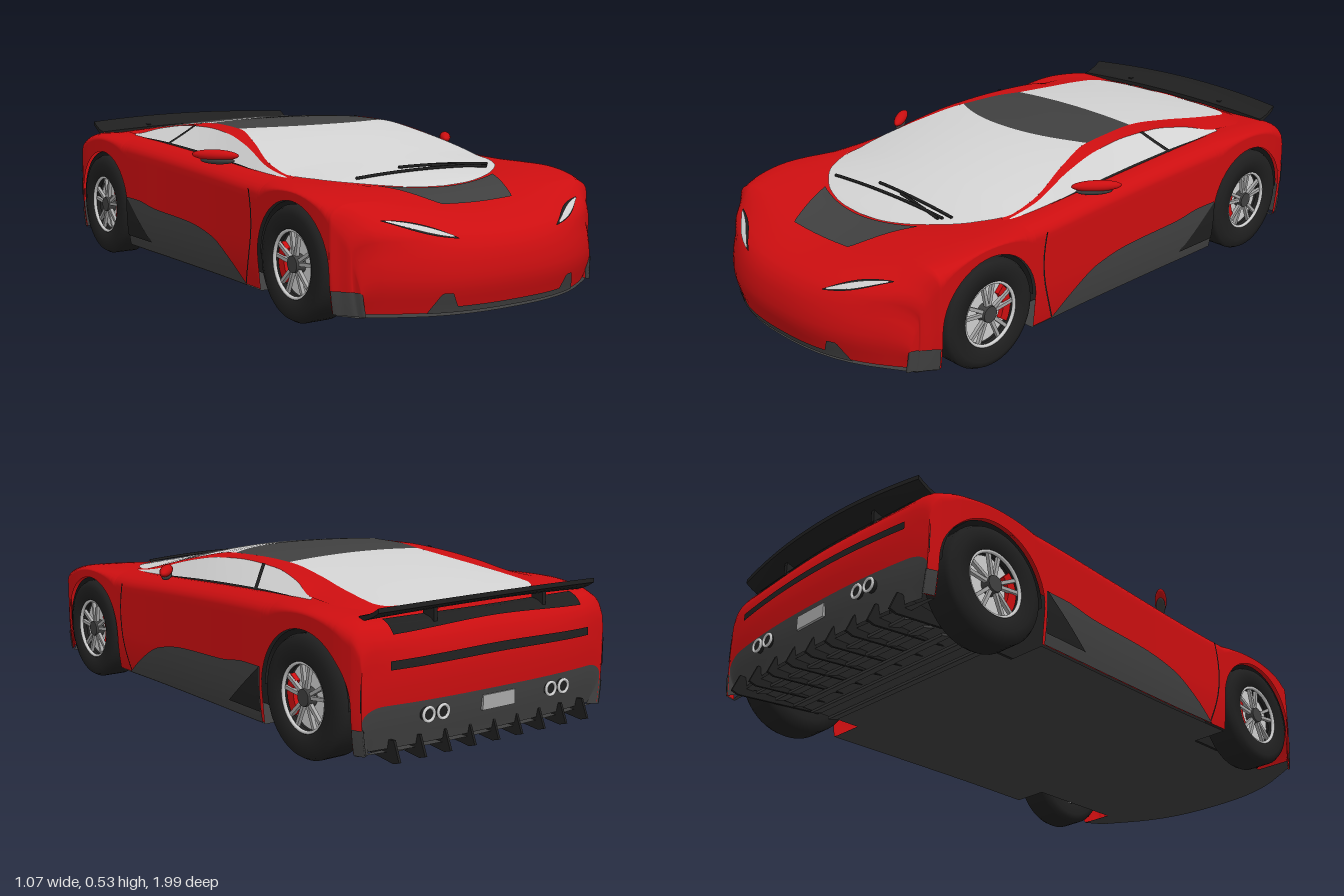
import * as THREE from 'three';

const mat = (name, color) => Object.assign(new THREE.MeshStandardMaterial({ color, side: THREE.DoubleSide }), { name });
const span = (a, b, n) => Array.from({ length: n + 1 }, (_, i) => a + (b - a) * i / n);
const clamp = (v, a = 0, b = 1) => Math.min(b, Math.max(a, v));
const smooth = t => t * t * (3 - 2 * t);
const lerp = THREE.MathUtils.lerp;

// Smooth curve through rows [key, v1, v2...] without overshoot
function curve(rows, c = 1) {
  const n = rows.length, X = rows.map(r => r[0]), Y = rows.map(r => r[c]);
  const d = span(0, n - 2, n - 2).map(i => (Y[i + 1] - Y[i]) / (X[i + 1] - X[i]));
  const m = Y.map((_, i) => i === 0 ? d[0] : i === n - 1 ? d[n - 2]
    : d[i - 1] * d[i] <= 0 ? 0 : 2 * d[i - 1] * d[i] / (d[i - 1] + d[i]));
  return x => {
    x = clamp(x, X[0], X[n - 1]);
    let i = 0;
    while (i < n - 2 && x > X[i + 1]) i++;
    const h = X[i + 1] - X[i], t = (x - X[i]) / h, k = smooth(t);
    return Y[i] * (1 - k) + Y[i + 1] * k + h * t * (1 - t) * (m[i] * (1 - t) - m[i + 1] * t);
  };
}

// Surface f(a, b) -> [x, y, z], turned outward and lifted along its normals
function grid(f, as, bs, lift = 0) {
  const pos = [], idx = [], w = bs.length;
  for (const a of as) for (const b of bs) pos.push(...f(a, b));
  for (let i = 0; i < as.length - 1; i++) for (let j = 0; j < w - 1; j++) {
    const p = i * w + j;
    idx.push(p, p + 1, p + w, p + 1, p + w + 1, p + w);
  }
  const g = new THREE.BufferGeometry();
  g.setAttribute('position', new THREE.Float32BufferAttribute(pos, 3));
  g.setIndex(idx);
  g.computeVertexNormals();
  const P = g.attributes.position, N = g.attributes.normal;
  let out = 0;
  for (let i = 0; i < P.count; i++) out += P.getX(i) * N.getX(i) + (P.getY(i) - 0.2) * N.getY(i) + P.getZ(i) * N.getZ(i);
  if (out < 0) { g.setIndex(idx.reverse()); g.computeVertexNormals(); }
  const M = g.attributes.normal;
  for (let i = 0; i < P.count; i++)
    P.setXYZ(i, P.getX(i) + lift * M.getX(i), P.getY(i) + lift * M.getY(i), P.getZ(i) + lift * M.getZ(i));
  return g;
}

function mirror(geo) {
  const g = geo.clone().scale(-1, 1, 1);
  g.setIndex(Array.from(g.index.array).reverse());
  return g;
}

// Body stations: s, z, half width, centre height, shoulder height
const BODY = [
  [-1.25, -.965, .46, .07, .07], [-1.12, -.985, .485, .18, .18], [-1.03, -.99, .49, .28, .275],
  [-.97, -.975, .49, .37, .36], [-.92, -.93, .5, .425, .415], [-.85, -.85, .51, .42, .44],
  [-.7, -.7, .513, .4, .45], [-.45, -.45, .512, .38, .445], [-.2, -.2, .508, .36, .435],
  [.1, .1, .506, .36, .42], [.35, .35, .51, .36, .408], [.575, .575, .513, .37, .405],
  [.66, .66, .513, .375, .398], [.8, .8, .505, .35, .37], [.9, .9, .485, .317, .33],
  [.96, .96, .47, .285, .29], [1.02, .99, .46, .235, .235], [1.08, 1, .455, .17, .17], [1.2, .975, .45, .07, .07]];
const [zOf, wide, mid, shoulder] = [1, 2, 3, 4].map(c => curve(BODY, c));
const SILL = .065;
const AXLES = [{ z: .575, r: .177, arch: .19, y: .177, end: 'front' }, { z: -.71, r: .185, arch: .2, y: .185, end: 'rear' }];

const bottom = s => AXLES.reduce((y, a) => Math.abs(s - a.z) <= a.arch
  ? a.y + Math.sqrt(Math.max(0, a.arch ** 2 - (s - a.z) ** 2)) : y, SILL);
const bowed = (x, y, s) => [x, y, zOf(s) + (Math.abs(x) / .5) ** 2.5
  * (.04 * clamp((-s - .91) / .1) - .2 * clamp((s - .77) / .23))];
const sideTop = s => shoulder(s) - Math.min(.045, .3 * (shoulder(s) - bottom(s)));
const sideX = (s, y) => wide(s) * (1 - .025 * clamp((.2 - y) / .14) ** 2);
const sidePoint = (s, y) => bowed(sideX(s, y), y, s);
const topPoint = (s, x) => bowed(x, lerp(shoulder(s), mid(s), smooth(clamp(1 - Math.abs(x) / (.85 * wide(s))))), s);

function bodyPoint(s, v) {
  const u = 1 - Math.abs(v), side = Math.sign(v), yS = sideTop(s), w = wide(s);
  if (u < .5) {
    const y = lerp(bottom(s), yS, u * 2);
    return bowed(side * sideX(s, y), y, s);
  }
  const q = u * 2 - 1;
  if (q >= .4) return topPoint(s, side * .85 * w * (1 - (q - .4) / .6));
  const a = q / .4 * Math.PI / 2, x = sideX(s, yS);
  return bowed(side * (x - (x - .85 * w) * (1 - Math.cos(a))), yS + (shoulder(s) - yS) * Math.sin(a), s);
}

// Cabin: z, glass half width, centre height, glass edge height
const ROOF = [
  [-.86, 0, .445, .445], [-.85, .2, .447, .445], [-.82, .3, .453, .446], [-.78, .32, .46, .452], [-.65, .31, .482, .47],
  [-.5, .285, .502, .49], [-.35, .27, .517, .507], [-.2, .288, .526, .515], [-.05, .305, .524, .512], [.1, .345, .508, .484],
  [.3, .398, .468, .43], [.38, .4, .45, .413], [.5, .35, .425, .406], [.6, .24, .401, .395], [.64, .15, .389, .386],
  [.655, .08, .382, .381], [.66, 0, .379, .379]];
const [glassX, roofY, edgeY] = [1, 2, 3].map(c => curve(ROOF, c));
// Roof rail outer edge: z, x, y
const RAIL = [[-.87, .42, .43], [-.75, .42, .448], [-.62, .412, .455], [-.5, .375, .483], [-.35, .348, .503],
  [-.2, .345, .508], [-.05, .355, .5], [.1, .375, .475], [.3, .407, .422], [.42, .41, .405]];
const [railX, railY] = [1, 2].map(c => curve(RAIL, c));
const cabinPoint = (u, z) => [u * glassX(z), lerp(roofY(z), edgeY(z), u * u), z];
const windowPoint = (a, z) => [lerp(railX(z), .425, a), lerp(railY(z), shoulder(z) - .005, a), z];

export function createModel() {
  const car = new THREE.Group();
  car.name = 'sportsCar';
  const red = mat('red paint', 0xcc0e10), charcoal = mat('charcoal panel', 0x404040), black = mat('black trim', 0x1f1f1f);
  const glass = mat('pale glass', 0xd2d2d2), silver = mat('silver', 0xcfcfcf), steel = mat('steel', 0xa8a8a8);
  const add = (name, geo, m, parent = car) => {
    const mesh = new THREE.Mesh(geo, m);
    mesh.name = name;
    parent.add(mesh);
    return mesh;
  };
  const pair = (name, geo, m) => { add(name + 'Left', geo, m); add(name + 'Right', mirror(geo), m); };

  // Body shell with wheel arches, extra stations around each arch
  const archStations = AXLES.flatMap(a => [a.z - a.arch - 1e-4, a.z + a.arch + 1e-4,
    ...span(0, Math.PI, 24).map(t => a.z + a.arch * .99999 * Math.cos(t))]);
  const stations = [...span(-1.1, 1.2, 92), ...archStations].sort((a, b) => a - b);
  add('bodyShell', grid(bodyPoint, stations, span(-1, 1, 64)), red);
  add('rearValance', grid(bodyPoint, span(-1.25, -1.1, 6), span(-1, 1, 64)), charcoal);

  // Floor, narrowed between the wheels, and dark inner structure
  const floorStations = [-1.25, ...stations.filter(s => s > -.94 && s < .96), 1.2];
  add('floor', grid((s, v) => bowed(v * (bottom(s) > SILL ? .37 : wide(s) * .97), .06, s), floorStations, span(-1, 1, 16)), charcoal);
  add('innerStructure', new THREE.BoxGeometry(.74, .27, 1.68).translate(0, .2, -.08), black);
  for (const a of AXLES)
    pair(a.end + 'ArchLiner', grid((t, x) => [x, a.y + (a.arch - .001) * Math.sin(t), a.z + (a.arch - .001) * Math.cos(t)],
      span(0, Math.PI, 24), [.36, .5]), black);

  // Panels laid on the body
  const sidePatch = (name, m, s0, s1, lo, hi, n = 24) => pair(name, grid((s, t) =>
    sidePoint(s, lerp(lo(s), Math.min(hi(s), sideTop(s)), t)), span(s0, s1, n), span(0, 1, 6), .004), m);
  const topPatch = (x0, x1, sA, sB, n = 16) => grid((x, t) => topPoint(lerp(sA(x), sB(x), t), x), span(x0, x1, n), span(0, 1, 8), .004);
  const sill = () => SILL;
  sidePatch('sideSkirt', charcoal, -.505, .31, sill,
    curve([[-.51, .24], [-.42, .24], [-.3, .225], [-.05, .215], [.1, .19], [.22, .13], [.31, .066]]));
  pair('sideIntake', grid((s, t) => sidePoint(s, lerp(.1, lerp(.24, .1, (s + .505) / .175), t)), span(-.505, -.33, 8), span(0, 1, 4), .007), black);
  sidePatch('rearCorner', charcoal, -1.1, -.915, sill, () => .14, 10);
  sidePatch('frontCorner', charcoal, .775, 1.15, sill, () => .135, 14);
  sidePatch('rearVent', black, -1.02, -.975, () => .19, () => .31, 4);
  pair('doorSeam', grid((y, t) => sidePoint(.3 + .05 * Math.sin((y - .07) / .31 * 2.4) + t * .006, y), span(.07, .375, 16), [0, 1], .003), black);
  add('hoodPanel', topPatch(-.235, .235, x => .668 - .9 * x * x,
    x => Math.abs(x) < .14 ? .815 : lerp(.815, .62, (Math.abs(x) - .14) / .095), 48), charcoal);
  const lampLine = x => lerp(.968, .9, (x - .2) / .18), lampTaper = x => Math.sin(Math.PI * clamp((x - .185) / .21));
  pair('headlightSurround', topPatch(.19, .385, x => lampLine(x) - .02 * lampTaper(x), x => lampLine(x) + .016 * lampTaper(x)), black);
  pair('headlight', topPatch(.205, .375, x => lampLine(x) - .012 * lampTaper(x), x => lampLine(x) + .012 * lampTaper(x)).translate(0, .002, .003), silver);
  pair('bumperFin', topPatch(.19, .285, x => 1.2 - .075 * clamp(1.5 - Math.abs(x - .237) / .032), () => 1.2), charcoal);
  add('frontLip', topPatch(-.2, .2, () => 1.178, () => 1.2), charcoal);
  add('taillightSlot', topPatch(-.4, .4, () => -.995, () => -1.012), black);
  add('rearGrille', topPatch(-.38, .38, () => -.895, () => -.945), black);

  // Cabin glass, roof panel, rails and side windows
  const roofFront = u => .02 - .085 * u * u, half = span(-1, 1, 28);
  const band = (zA, zB) => grid((u, t) => cabinPoint(u, lerp(zA(u), zB(u), Math.sin(t * Math.PI / 2))), half, span(0, 1, 40));
  add('windshield', band(roofFront, () => .66), glass);
  add('roofPanel', band(() => -.32, roofFront), charcoal);
  add('rearWindow', band(() => -.32, () => -.86), glass);
  pair('roofRail', grid((z, t) => [lerp(glassX(z), railX(z), t), lerp(edgeY(z), railY(z), t), z],
    [...span(-.87, -.8, 14), ...span(-.78, .42, 60)], span(0, 1, 4)), red);
  pair('sideWindow', grid((z, a) => windowPoint(a, z), span(-.63, .4, 50), span(0, 1, 6)), glass);
  pair('windowPillar', grid((a, t) => windowPoint(a, lerp(-.3, -.365, a) + t * .018), span(0, 1, 8), [0, 1], .004), black);
  pair('beltTrim', grid((z, a) => windowPoint(a, z), span(-.6, .3, 40), [.9, 1], .003), black);

  // Wipers
  const wiper = (name, x0, z0, x1, z1) => {
    const pts = span(0, 1, 6).map(t => {
      const z = lerp(z0, z1, t), p = cabinPoint(lerp(x0, x1, t) / glassX(z), z);
      return new THREE.Vector3(p[0], p[1] + .007, p[2]);
    });
    add(name, new THREE.TubeGeometry(new THREE.CatmullRomCurve3(pts), 16, .005, 6), black);
  };
  wiper('wiperLong', .27, .55, -.26, .555);
  wiper('wiperShort', .29, .53, -.07, .52);
  wiper('wiperArm', .26, .56, .05, .53);

  // Door mirrors
  const pod = (x, y, z, sx, sy, sz) => new THREE.SphereGeometry(1, 20, 12).scale(sx, sy, sz).rotateY(.9).translate(x, y, z);
  pair('doorMirror', pod(.483, .45, .085, .082, .018, .02), red);
  pair('mirrorBase', pod(.478, .433, .09, .06, .013, .016), charcoal);

  // Rear wing, swept and tilted
  const wing = new THREE.BoxGeometry(.87, .014, .11, 24, 1, 4), wp = wing.attributes.position;
  for (let i = 0; i < wp.count; i++) {
    const x = wp.getX(i), z = wp.getZ(i), k = (x / .435) ** 2;
    wp.setXYZ(i, x, wp.getY(i) + .456 - z * .3 + z * z * 2 - .012 * k, z * (1 - .25 * k) - .938 + .025 * k);
  }
  wing.computeVertexNormals();
  add('rearWing', wing, black);
  pair('wingStrut', new THREE.BoxGeometry(.014, .05, .045).translate(.22, .432, -.925), black);

  // Rear details: plate, exhausts, diffuser fins
  add('rearPlate', new THREE.BoxGeometry(.13, .045, .008).translate(0, .16, -.985), steel);
  for (const x of [.22, .275]) {
    pair('exhaustRing', new THREE.TorusGeometry(.02, .005, 8, 24).translate(x, .16, -.988), silver);
    pair('exhaustPipe', new THREE.CylinderGeometry(.02, .02, .04, 20).rotateX(Math.PI / 2).translate(x, .16, -.967), black);
  }
  const fin = new THREE.Shape([[.66, .065], [.97, .032], [.995, .04], [.97, .1]].map(p => new THREE.Vector2(...p)));
  for (const x of span(-.385, .385, 8))
    add('diffuserFin', new THREE.ExtrudeGeometry(fin, { depth: .008, bevelEnabled: false }).rotateY(Math.PI / 2).translate(x - .004, 0, 0), black);
  for (const z of span(-.9, -.62, 4))
    add('diffuserSlat', new THREE.BoxGeometry(.72, .008, .04).rotateX(-.3).translate(0, .054, z), charcoal);

  // Wheels, built facing +z and turned outward
  for (const a of AXLES) for (const side of [1, -1]) {
    const wheel = new THREE.Group(), r = a.r;
    wheel.name = a.end + (side > 0 ? 'WheelLeft' : 'WheelRight');
    const profile = [[.1, -.045], [.106, -.058], [.15, -.062], [r - .008, -.055], [r, -.04], [r, .04],
      [r - .008, .055], [.15, .062], [.106, .058], [.1, .03]].map(p => new THREE.Vector2(...p));
    add('tyre', new THREE.LatheGeometry(profile, 48).rotateX(Math.PI / 2), black, wheel);
    add('rimLip', new THREE.TorusGeometry(.102, .006, 8, 48).translate(0, 0, .05), silver, wheel);
    add('brakeDisc', new THREE.CylinderGeometry(.1, .1, .07, 40).rotateX(Math.PI / 2).translate(0, 0, -.012), silver, wheel);
    for (let i = 0; i < 5; i++) for (const lean of [-.2, .2])
      add('spoke', new THREE.BoxGeometry(.08, .011, .012).translate(.062, 0, .042)
        .rotateZ(i * Math.PI * .4 + Math.PI / 2 + lean), steel, wheel);
    add('hub', new THREE.CylinderGeometry(.026, .03, .03, 24).rotateX(Math.PI / 2).translate(0, 0, .04), charcoal, wheel);
    const arc = new THREE.Shape().absarc(0, 0, .097, -.6, .8, false).absarc(0, 0, .066, .8, -.6, true);
    const dir = side * (a.end === 'front' ? 1 : -1);
    add('brakeCaliper', new THREE.ExtrudeGeometry(arc, { depth: .016, bevelEnabled: false, curveSegments: 12 })
      .translate(0, 0, .024).rotateZ(dir > 0 ? 0 : Math.PI), red, wheel);
    wheel.position.set(side * .453, a.y, a.z);
    wheel.rotation.y = side * Math.PI / 2;
    car.add(wheel);
  }
  return car;
}
